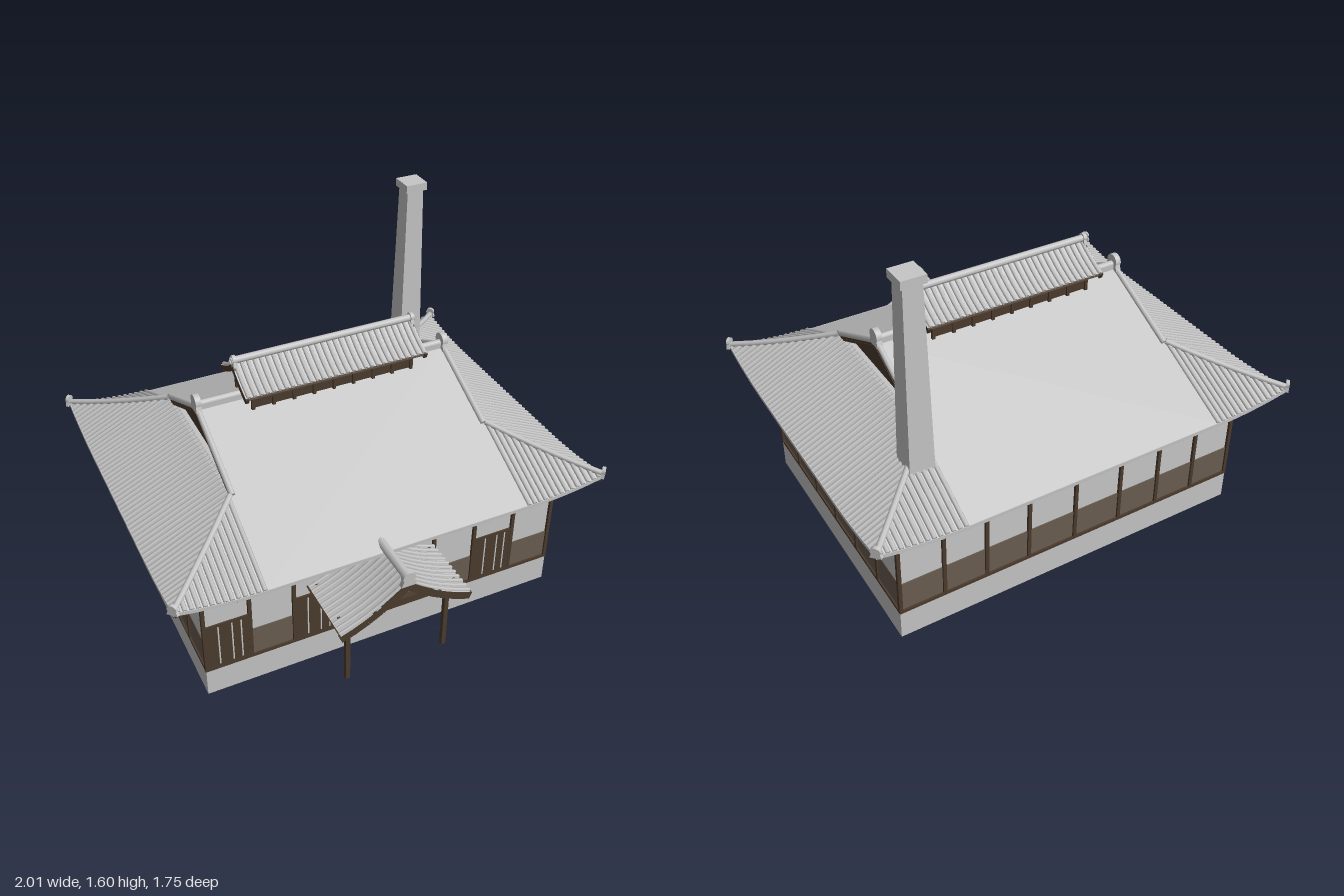
import * as THREE from 'three';
import { ParametricGeometry } from 'three/addons/geometries/ParametricGeometry.js';

const V = (x, y, z) => new THREE.Vector3(x, y, z);

export function createModel() {
  const root = new THREE.Group();
  root.name = 'bathhouse';
  const mat = (name, color, side = THREE.FrontSide) =>
    Object.assign(new THREE.MeshStandardMaterial({ color, side }), { name });
  const plaster = mat('plaster', 0xc8c8c8);
  const stone = mat('stone', 0xc6c6c6);
  const tile = mat('roofTile', 0xc4c4c4, THREE.DoubleSide);
  const timber = mat('darkTimber', 0x4b3b2d, THREE.DoubleSide);
  const panel = mat('brownPanel', 0x6b5e52);

  const group = (name, parent = root) => {
    const g = new THREE.Group();
    g.name = name;
    parent.add(g);
    return g;
  };
  const add = (parent, name, geo, m) => {
    const mesh = new THREE.Mesh(geo, m);
    mesh.name = name;
    parent.add(mesh);
    return mesh;
  };
  const box = (parent, name, m, w, h, d, x, y, z) => {
    const b = add(parent, name, new THREE.BoxGeometry(w, h, d), m);
    b.position.set(x, y, z);
    return b;
  };
  // square bar from point p to point q
  const beam = (parent, name, m, p, q, w, h) => {
    const b = add(parent, name, new THREE.BoxGeometry(w, h, p.distanceTo(q)), m);
    b.position.copy(p).lerp(q, 0.5);
    b.lookAt(q);
    return b;
  };
  // round bar along points, closed with a disc at its last point
  const roll = (parent, name, pts, r, sides = 6) => {
    const curve = pts.length > 2 ? new THREE.CatmullRomCurve3(pts) : new THREE.LineCurve3(pts[0], pts[1]);
    add(parent, name, new THREE.TubeGeometry(curve, pts.length > 2 ? 5 : 1, r, sides), tile);
    const cap = add(parent, name + 'End', new THREE.CircleGeometry(r, sides), tile);
    cap.position.copy(pts[pts.length - 1]);
    cap.lookAt(cap.position.clone().add(curve.getTangent(1)));
  };
  const sheet = (parent, name, m, f, nu = 1, nv = 1) =>
    add(parent, name, new ParametricGeometry((u, v, t) => t.copy(f(u, v)), nu, nv), m);
  // ridge-end ornament facing +z before turning
  const ornament = (parent, x, y, z, turn, s) => {
    const sh = new THREE.Shape();
    sh.moveTo(-0.04, -0.035).lineTo(0.04, -0.035).lineTo(0.028, 0);
    sh.absarc(0, 0.01, 0.034, -0.2, Math.PI + 0.2, false);
    sh.lineTo(-0.028, 0);
    const geo = new THREE.ExtrudeGeometry(sh, { depth: 0.025, bevelEnabled: false, curveSegments: 8 });
    const o = add(parent, 'ridgeOrnament', geo, tile);
    o.position.set(x, y, z);
    o.rotation.y = turn;
    o.scale.setScalar(s);
  };

  // Hollow foundation
  const ZC = -0.085, HX = 0.837, HZ = 0.627;
  const base = group('foundation');
  box(base, 'foundationTop', stone, 2 * HX, 0.01, 2 * HZ, 0, 0.128, ZC);
  for (const s of [-1, 1]) {
    box(base, 'foundationWall', stone, 2 * HX, 0.133, 0.008, 0, 0.0665, ZC + s * (HZ - 0.004));
    box(base, 'foundationWall', stone, 0.008, 0.133, 2 * HZ, s * (HX - 0.004), 0.0665, ZC);
  }

  // Plaster walls, dado, posts and rails
  const walls = group('walls');
  box(walls, 'plasterWalls', plaster, 2 * HX - 0.02, 0.49, 2 * HZ - 0.02, 0, 0.375, ZC);
  box(walls, 'dado', panel, 2 * HX - 0.012, 0.145, 2 * HZ - 0.012, 0, 0.2125, ZC);
  for (const y of [0.14, 0.605]) box(walls, 'rail', timber, 2 * HX + 0.004, 0.014, 2 * HZ + 0.004, 0, y, ZC);
  for (const s of [-1, 1]) {
    for (const x of [-0.832, -0.631, -0.433, -0.23, 0, 0.23, 0.433, 0.631, 0.832])
      box(walls, 'post', timber, 0.016, 0.47, 0.016, x, 0.37, ZC + s * (HZ - 0.006));
    for (let i = 1; i < 6; i++)
      box(walls, 'post', timber, 0.016, 0.47, 0.016, s * (HX - 0.006), 0.37, ZC - HZ + i * HZ / 3);
    // slatted vents under the side eaves
    const vent = group('sideLattice', walls);
    for (let i = 0; i < 59; i++)
      box(vent, 'slat', timber, 0.009, 0.095, 0.012, s * (HX + 0.004), 0.548, -0.68 + i * 0.0203);
    for (const y of [0.503, 0.593]) box(vent, 'latticeRail', timber, 0.012, 0.008, 1.19, s * (HX + 0.004), y, -0.09);
  }

  // Front doors, lattice and shelves
  const F = ZC + HZ;
  const doors = group('frontDoors');
  for (const x of [-0.732, -0.332, 0.532]) {
    box(doors, 'door', timber, 0.2, 0.24, 0.008, x, 0.262, F - 0.003);
    for (const dx of [-0.04, 0.02, 0.06]) box(doors, 'doorSlit', plaster, 0.006, 0.21, 0.003, x + dx, 0.265, F + 0.002);
  }
  box(doors, 'entranceDoor', timber, 0.22, 0.24, 0.008, -0.115, 0.262, F - 0.003);
  for (let i = 0; i < 8; i++) box(doors, 'latticeGap', plaster, 0.01, 0.13, 0.003, -0.2 + i * 0.021, 0.295, F + 0.002);
  for (const x of [-0.172, -0.075]) box(doors, 'doorPanel', panel, 0.08, 0.065, 0.003, x, 0.185, F + 0.002);
  for (const y of [0.19, 0.24, 0.29, 0.38]) box(doors, 'shelf', timber, 0.22, 0.008, 0.012, 0.115, y, F);

  // Hip-and-gable roof: a runs 0..1 down the side slopes, b down the front and back
  const RX = 0.6, EX = 0.98, RZ = 0.39, EZ = 0.767, Z0 = -0.092;
  const at = (a, b, s, f, drop = 0) => V(
    s * (RX + a * (EX - RX)),
    0.808 - 0.187 * Math.max(a, b) + 0.038 * Math.max(0, Math.min(a, b)) ** 2 - drop,
    Z0 + f * (RZ + b * (EZ - RZ)));
  const roof = group('mainRoof');
  const TOP = -RZ / (EZ - RZ);
  const steps = [0, 0.25, 0.5, 0.75, 1];
  for (const f of [-1, 1]) {
    for (const [m, drop] of [[tile, 0], [timber, 0.016]])
      sheet(roof, 'mainSlope', m, (u, v) => {
        const p = at(-2, TOP + v * (1 - TOP), 1, f, drop);
        p.x = RX * (2 * u - 1);
        return p;
      });
    beam(roof, 'eaveEdge', tile, V(-RX, 0.613, Z0 + f * EZ), V(RX, 0.613, Z0 + f * EZ), 0.006, 0.016);
    beam(roof, 'eaveBoard', timber, V(-RX, 0.603, Z0 + f * (EZ - 0.012)), V(RX, 0.603, Z0 + f * (EZ - 0.012)), 0.012, 0.01);
    for (const s of [-1, 1]) {
      for (const [m, drop] of [[tile, 0], [timber, 0.016]]) {
        sheet(roof, 'cornerSlope', m, (u, v) => at(u, u + (1 - u) * v, s, f, drop), 8, 8);
        sheet(roof, 'sideCornerSlope', m, (u, v) => at(u + (1 - u) * v, u, s, f, drop), 8, 8);
      }
      // tile rolls on the corner pieces
      for (let i = 0; i < 14; i++) {
        const a = (i + 0.3) / 14;
        roll(roof, 'tileRoll', steps.map(t => at(a, a + (1 - a) * t, s, f, -0.001)), 0.01);
        const b = (i + 0.5) / 14;
        roll(roof, 'tileRoll', steps.map(t => at(b + (1 - b) * t, b, s, f, -0.001)), 0.01);
      }
      // eave edges curving up to the corners
      for (let i = 0; i < 6; i++) {
        const t = i / 6, n = (i + 1) / 6;
        beam(roof, 'eaveEdge', tile, at(t, 1, s, f, 0.008), at(n, 1, s, f, 0.008), 0.006, 0.016);
        beam(roof, 'eaveEdge', tile, at(1, t, s, f, 0.008), at(1, n, s, f, 0.008), 0.006, 0.016);
        beam(roof, 'eaveBoard', timber, at(t, 0.97, s, f, 0.022), at(n, 0.97, s, f, 0.022), 0.012, 0.01);
        beam(roof, 'eaveBoard', timber, at(0.97, t, s, f, 0.022), at(0.97, n, s, f, 0.022), 0.012, 0.01);
      }
      // hip ridge, its ornament and the corner rafter
      roll(roof, 'hipRidge', steps.map(t => at(t, t, s, f, -0.01)), 0.013, 8);
      const tip = at(0.99, 0.99, s, f, -0.016);
      ornament(roof, tip.x, tip.y, tip.z, Math.atan2(s, f), 0.6);
      beam(roof, 'cornerRafter', timber, at(0.5, 0.5, s, f, 0.034), at(0.93, 0.93, s, f, 0.034), 0.02, 0.022);
      // ridge down the gable edge and the board below it
      roll(roof, 'gableRidge', [V(s * 0.59, 1.006, Z0), V(s * 0.59, 0.815, Z0 + f * RZ)], 0.013, 8);
      beam(roof, 'gableBoard', timber, V(s * 0.592, 0.982, Z0), V(s * 0.592, 0.793, Z0 + f * RZ), 0.012, 0.02);
    }
    for (let i = 0; i < 30; i++) {
      const x = -0.8 + i * 1.6 / 29, a = Math.max(0, (Math.abs(x) - RX) / (EX - RX)), s = Math.sign(x);
      const p = at(a, 0.62, s, f, 0.026), q = at(a, 0.95, s, f, 0.026);
      p.x = q.x = x;
      beam(roof, 'rafter', timber, p, q, 0.012, 0.014);
    }
  }
  for (const s of [-1, 1]) {
    // middle of each side slope, with a ledge running in to the gable wall
    for (const [m, drop] of [[tile, 0], [timber, 0.016]])
      sheet(roof, 'sideSlope', m, (u, v) => {
        const p = at(v, 0, s, 1, drop);
        p.z = Z0 + RZ * (2 * u - 1);
        return p;
      });
    const onSide = (a, z, drop) => {
      const p = at(a, 0, s, 1, drop);
      p.z = z;
      return p;
    };
    for (let i = 0; i < 28; i++) {
      const z = Z0 - RZ + (i + 0.5) * RZ / 14;
      roll(roof, 'tileRoll', [onSide(-0.05, z, -0.001), onSide(1, z, -0.001)], 0.01);
    }
    for (let i = 0; i < 22; i++) {
      const z = ZC - 0.59 + i * 1.18 / 21;
      const b = Math.max(0, (Math.abs(z - Z0) - RZ) / (EZ - RZ));
      const lift = 0.038 * b * b;
      beam(roof, 'rafter', timber, onSide(0.62, z, 0.026 - lift * 0.6), onSide(0.95, z, 0.026 - lift), 0.012, 0.014);
    }
    beam(roof, 'eaveEdge', tile, onSide(1, Z0 - RZ, 0.008), onSide(1, Z0 + RZ, 0.008), 0.006, 0.016);
    beam(roof, 'eaveBoard', timber, onSide(0.97, Z0 - RZ, 0.022), onSide(0.97, Z0 + RZ, 0.022), 0.012, 0.01);
    box(roof, 'gableLedge', tile, 0.05, 0.008, 2 * RZ - 0.02, s * 0.576, 0.803, Z0);
    // triangular gable wall
    const tri = new THREE.Shape([new THREE.Vector2(-RZ, 0.8), new THREE.Vector2(RZ, 0.8), new THREE.Vector2(0, 0.99)]);
    const gable = add(roof, 'gableWall', new THREE.ShapeGeometry(tri), timber);
    gable.rotation.y = s * Math.PI / 2;
    gable.position.set(s * 0.56, 0, Z0);
    ornament(roof, s * 0.59 - 0.0125 * s, 1.02, Z0, s * Math.PI / 2, 1);
  }
  box(roof, 'ridgeBase', tile, 1.18, 0.025, 0.03, 0, 1.005, Z0);
  roll(roof, 'mainRidge', [V(-0.6, 1.017, Z0), V(0.6, 1.017, Z0)], 0.016, 8);

  // Ribbed gable roof built along z, falling from its ridge to both sides
  const ribbedRoof = (parent, half, length, fall, sag, board) => {
    const y = t => -fall * t - sag * 4 * t * (1 - t);
    for (const s of [-1, 1]) {
      const p = (t, z, d = 0) => V(s * half * t, y(t) - d, z);
      for (const [m, d] of [[tile, 0], [timber, 0.012]])
        sheet(parent, 'slope', m, (u, v) => p(v, (u - 0.5) * length, d), 1, 6);
      const n = Math.round(length / 0.028);
      for (let i = 0; i < n; i++) {
        const z = ((i + 0.5) / n - 0.5) * length;
        roll(parent, 'tileRoll', [0, 0.33, 0.66, 1].map(t => p(t, z, -0.001)), 0.009);
      }
      for (const e of [-1, 1])
        for (let i = 0; i < 5; i++)
          beam(parent, 'bargeBoard', timber, p(i / 5, e * (length / 2 - 0.007), board / 2 + 0.003),
            p((i + 1) / 5, e * (length / 2 - 0.007), board / 2 + 0.003), 0.016, board);
    }
  };

  // Raised vent on the ridge
  const vent = group('ridgeVent');
  const ventRoof = group('ventRoof', vent);
  ribbedRoof(ventRoof, 0.147, 0.85, 0.085, 0.006, 0.026);
  ventRoof.position.set(0, 1.174, ZC);
  ventRoof.rotation.y = Math.PI / 2;
  roll(vent, 'ventRidge', [V(-0.43, 1.192, ZC), V(0.43, 1.192, ZC)], 0.016, 8);
  for (const s of [-1, 1]) {
    ornament(vent, s * 0.41, 1.188, ZC, s * Math.PI / 2, 0.6);
    box(vent, 'ventWall', timber, 0.75, 0.1, 0.006, 0, 1.047, ZC + s * 0.09);
    for (let i = 0; i < 9; i++) box(vent, 'ventPost', timber, 0.014, 0.11, 0.014, -0.375 + i * 0.09375, 1.047, ZC + s * 0.094);
  }

  // Chimney
  const chimney = group('chimney');
  const shaft = add(chimney, 'chimneyShaft', new THREE.CylinderGeometry(0.057, 0.094, 1.49, 4, 1).toNonIndexed(), stone);
  shaft.geometry.computeVertexNormals();
  shaft.rotation.y = Math.PI / 4;
  shaft.position.set(0.667, 0.825, -0.57);
  box(chimney, 'chimneyCap', stone, 0.105, 0.036, 0.105, 0.667, 1.582, -0.57);

  // Entrance porch
  const porch = group('porch');
  const PX = -0.078;
  const porchRoof = group('porchRoof', porch);
  ribbedRoof(porchRoof, 0.295, 0.32, 0.17, 0.018, 0.034);
  porchRoof.position.set(PX, 0.612, 0.705);
  roll(porch, 'porchRidge', [V(PX, 0.632, 0.58), V(PX, 0.632, 0.865)], 0.02, 8);
  ornament(porch, PX, 0.628, 0.848, 0, 0.85);
  for (const s of [-1, 1]) {
    const x = PX + s * 0.228;
    box(porch, 'porchPost', timber, 0.02, 0.34, 0.02, x, 0.27, 0.785);
    box(porch, 'sideBeam', timber, 0.02, 0.022, 0.31, x, 0.435, 0.7);
    beam(porch, 'strut', timber, V(PX + s * 0.13, 0.445, 0.785), V(PX, 0.54, 0.785), 0.014, 0.014);
  }
  for (const z of [0.785, 0.56]) box(porch, 'tieBeam', timber, 0.54, 0.03, 0.02, PX, 0.441, z);
  box(porch, 'kingPost', timber, 0.022, 0.15, 0.018, PX, 0.52, 0.785);

  return root;
}
